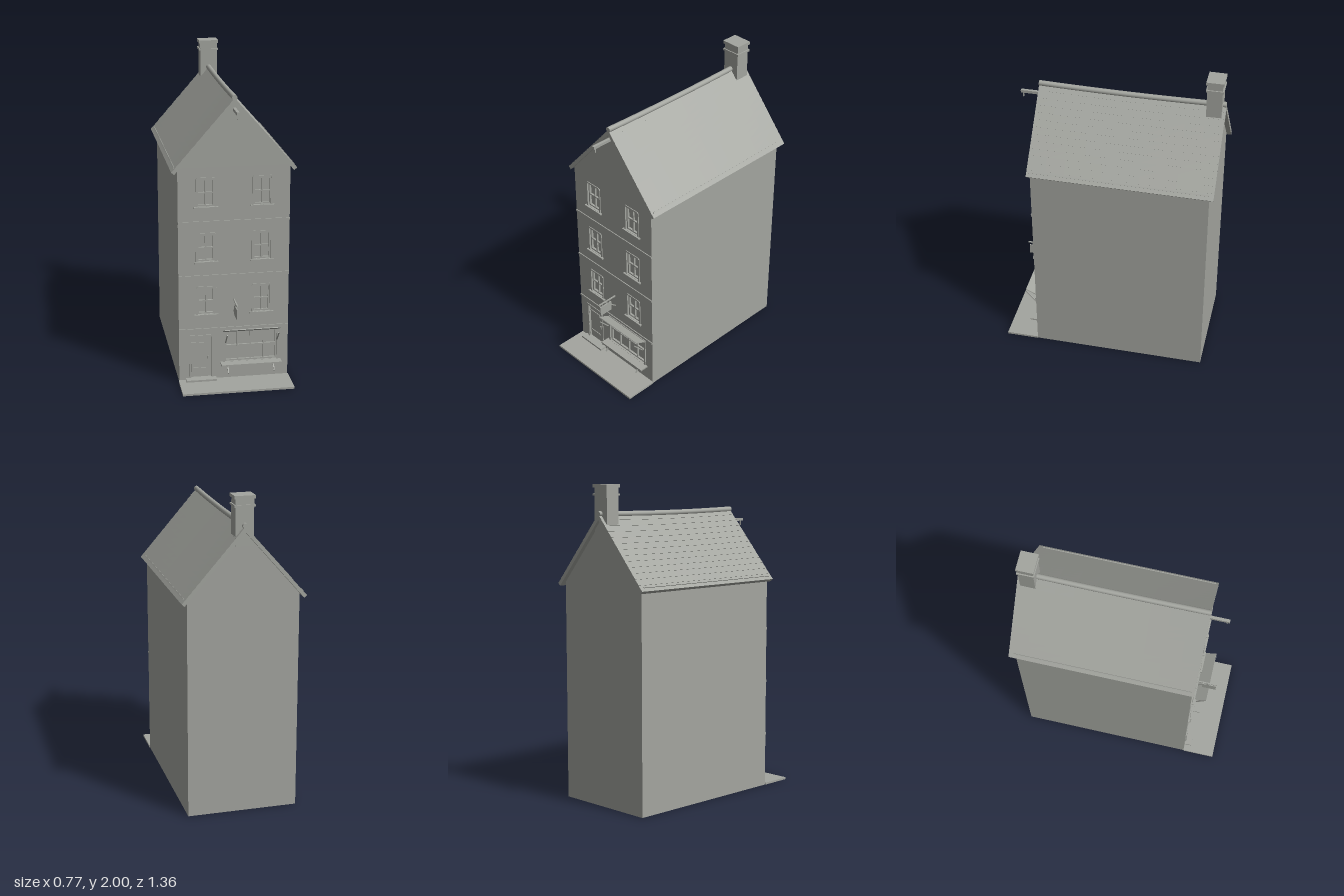
import * as THREE from 'three';

export function createModel() {
  const house = new THREE.Group();
  house.name = 'gabledTownhouse';
  const grey = new THREE.MeshStandardMaterial({ color: 0xa3a59f });
  grey.name = 'stoneGrey';

  const add = (name, geometry, parent = house) => {
    const mesh = new THREE.Mesh(geometry, grey);
    mesh.name = name;
    parent.add(mesh);
    return mesh;
  };
  // Box given by its lower and upper limits on each axis
  const box = (name, x0, x1, y0, y1, z0, z1, parent) => {
    const mesh = add(name, new THREE.BoxGeometry(x1 - x0, y1 - y0, z1 - z0), parent);
    mesh.position.set((x0 + x1) / 2, (y0 + y1) / 2, (z0 + z1) / 2);
    return mesh;
  };
  // Slat running between two (y, z) points, centred on x
  const slat = (name, x, width, thick, y0, z0, y1, z1, parent) => {
    const mesh = add(name, new THREE.BoxGeometry(width, thick, Math.hypot(y1 - y0, z1 - z0)), parent);
    mesh.position.set(x, (y0 + y1) / 2, (z0 + z1) / 2);
    mesh.rotation.x = -Math.atan2(y1 - y0, z1 - z0);
    return mesh;
  };
  const group = (name) => {
    const g = new THREE.Group();
    g.name = name;
    house.add(g);
    return g;
  };
  const rectangle = (x0, x1, y0, y1) => new THREE.Path([[x0, y0], [x0, y1], [x1, y1], [x1, y0]]
    .map(([x, y]) => new THREE.Vector2(x, y)));

  const FRONT = 0.47, BACK = -0.65, HALF = 0.348, REVEAL = 0.022;

  // Walls: solid body with a thin pierced front wall
  const gable = () => new THREE.Shape([[-HALF, 0], [HALF, 0], [HALF, 1.4], [0, 1.795], [-HALF, 1.4]]
    .map(([x, y]) => new THREE.Vector2(x, y)));
  const body = new THREE.ExtrudeGeometry(gable(), { depth: FRONT - REVEAL - BACK, bevelEnabled: false });
  add('walls', body.translate(0, 0, BACK));

  const windowX = [-0.175, 0.175], windowSills = [0.452, 0.8, 1.152];
  const facade = gable();
  for (const x of windowX) for (const y of windowSills) {
    facade.holes.push(rectangle(x - 0.054, x + 0.054, y, y + 0.172));
  }
  facade.holes.push(rectangle(-0.272, -0.143, 0.024, 0.304), rectangle(-0.058, 0.275, 0.122, 0.325));
  const facadeGeometry = new THREE.ExtrudeGeometry(facade, { depth: REVEAL, bevelEnabled: false });
  add('frontWall', facadeGeometry.translate(0, 0, FRONT - REVEAL));

  // String courses between the storeys
  for (const y of [0.342, 0.695, 1.045]) box('stringCourse', -HALF, HALF, y, y + 0.015, FRONT, FRONT + 0.006);

  // Frame, glazing bars and surround of a window opening
  function glazing(parent, x0, x1, y0, y1, columns, transom) {
    const z0 = FRONT - REVEAL, z1 = FRONT - 0.008, t = 0.009;
    box('frameLeft', x1 - t, x1, y0, y1, z0, z1, parent);
    box('frameRight', x0, x0 + t, y0, y1, z0, z1, parent);
    box('frameTop', x0, x1, y1 - t, y1, z0, z1, parent);
    box('frameBottom', x0, x1, y0, y0 + t, z0, z1, parent);
    box('transom', x0, x1, transom - 0.004, transom + 0.004, z0, z1 - 0.002, parent);
    for (let i = 1; i < columns; i++) {
      const x = x0 + (x1 - x0) * i / columns;
      box('mullion', x - 0.004, x + 0.004, y0, y1, z0, z1 - 0.002, parent);
    }
  }
  // Raised surround with clipped upper corners
  function surround(parent, x0, x1, y0, y1, t, depth, clip) {
    const shape = new THREE.Shape([[x0, y0], [x1, y0], [x1, y1 - clip], [x1 - clip, y1], [x0 + clip, y1], [x0, y1 - clip]]
      .map(([x, y]) => new THREE.Vector2(x, y)));
    shape.holes.push(rectangle(x0 + t, x1 - t, y0 + 0.001, y1 - t));
    add('surround', new THREE.ExtrudeGeometry(shape, { depth, bevelEnabled: false }).translate(0, 0, FRONT), parent);
  }

  // Sash windows
  for (const x of windowX) for (const y of windowSills) {
    const sash = group('sashWindow');
    glazing(sash, x - 0.054, x + 0.054, y, y + 0.172, 2, y + 0.085);
    surround(sash, x - 0.064, x + 0.064, y, y + 0.184, 0.011, 0.005, 0.01);
    box('sill', x - 0.075, x + 0.075, y - 0.01, y, FRONT, FRONT + 0.015, sash);
  }

  // Front door
  const door = group('frontDoor');
  surround(door, -0.285, -0.132, 0.024, 0.312, 0.012, 0.005, 0.001);
  box('leaf', -0.27, -0.145, 0.025, 0.303, FRONT - REVEAL, FRONT - 0.012, door);
  for (const y of [0.083, 0.255]) box('hinge', -0.27, -0.175, y - 0.004, y + 0.004, FRONT - 0.012, FRONT - 0.007, door);
  box('handle', -0.168, -0.16, 0.146, 0.168, FRONT - 0.012, FRONT - 0.001, door);
  box('doorstep', -0.307, -0.113, 0.012, 0.025, FRONT - 0.01, 0.515, door);

  // Shop window with shelf and awning
  const shop = group('shopWindow');
  glazing(shop, -0.058, 0.275, 0.122, 0.325, 4, 0.225);
  surround(shop, -0.068, 0.285, 0.122, 0.335, 0.011, 0.006, 0.001);
  box('shelf', -0.085, 0.3, 0.111, 0.122, FRONT, 0.53, shop);
  slat('awning', 0.109, 0.355, 0.005, 0.325, FRONT, 0.368, 0.556, shop);
  for (const x of [-0.055, 0.273]) slat('awningStrut', x, 0.006, 0.006, 0.26, 0.49, 0.335, 0.558, shop);
  for (const x of [-0.042, 0.25]) slat('shelfBracket', x, 0.007, 0.007, 0.117, 0.492, 0.065, 0.528, shop);

  // Hanging sign on its bracket
  const sign = group('hangingSign');
  box('arm', -0.004, 0.004, 0.538, 0.545, FRONT, 0.61, sign);
  slat('brace', 0, 0.006, 0.006, 0.46, FRONT, 0.538, 0.56, sign);
  box('board', -0.004, 0.004, 0.452, 0.518, 0.507, 0.602, sign);
  for (const z of [0.525, 0.585]) box('hanger', -0.002, 0.002, 0.517, 0.54, z - 0.002, z + 0.002, sign);

  // Hoist beam and hook
  const hoist = group('hoist');
  box('beam', -0.009, 0.009, 1.742, 1.76, FRONT - 0.02, 0.605, hoist);
  box('hook', -0.003, 0.003, 1.712, 1.744, 0.587, 0.593, hoist);

  // Pavement in front
  box('pavement', -0.352, 0.352, 0, 0.013, FRONT, 0.68);

  // Roof: shallow stepped tile courses, gently sagging between the gables
  const Z0 = -0.68, Z1 = 0.485, RIDGE = 1.82;
  const sag = (geometry) => {
    const p = geometry.attributes.position;
    for (let i = 0; i < p.count; i++) {
      const u = (p.getZ(i) - (Z0 + Z1) / 2) / ((Z1 - Z0) / 2);
      const height = Math.min(1, Math.max(0, (p.getY(i) - 1.38) / 0.44));
      p.setY(i, p.getY(i) - 0.008 * (1 - u * u) * height);
    }
    geometry.computeVertexNormals();
    return geometry;
  };
  const COURSES = 13, slope = [0.385, -0.442], length = Math.hypot(...slope);
  const normal = [-slope[1] / length, slope[0] / length];
  const at = (t, offset) => [slope[0] * t + normal[0] * offset, RIDGE + slope[1] * t + normal[1] * offset];
  const half = [];
  for (let i = 0; i < COURSES; i++) {
    if (i > 0) half.push(at(i / COURSES, 0));
    half.push(at((i + 1) / COURSES, 0.002));
  }
  half.push(at(1, -0.022));
  const outline = [[0, RIDGE], ...half.map(([x, y]) => [-x, y]), [0, RIDGE - 0.022 / normal[1]], ...half.reverse()];
  const roof = new THREE.ExtrudeGeometry(
    new THREE.Shape(outline.map(([x, y]) => new THREE.Vector2(x, y))),
    { depth: Z1 - Z0, steps: 10, bevelEnabled: false });
  add('tiledRoof', sag(roof.translate(0, 0, Z0)));

  // Ridge roll
  const ridge = new THREE.CylinderGeometry(0.017, 0.017, Z1 - Z0, 12, 10);
  ridge.rotateX(Math.PI / 2).translate(0, RIDGE + 0.003, (Z0 + Z1) / 2);
  add('ridgeRoll', sag(ridge));

  // Eaves strips along both lower edges
  for (const side of [-1, 1]) {
    const strip = box('eavesStrip', -0.004, 0.004, -0.005, 0.005, BACK, FRONT);
    strip.position.x = side * 0.367;
    strip.position.y = 1.4;
    strip.rotation.z = side * Math.atan2(slope[1], slope[0]);
  }

  // Chimney
  const chimney = group('chimney');
  const block = (name, hx, hz, y0, y1) => box(name, -hx, hx, y0, y1, -0.612 - hz, -0.612 + hz, chimney);
  block('stack', 0.056, 0.047, 1.7, 1.985);
  block('band', 0.064, 0.054, 1.932, 1.945);
  block('cap', 0.064, 0.054, 1.98, 2);

  return house;
}
